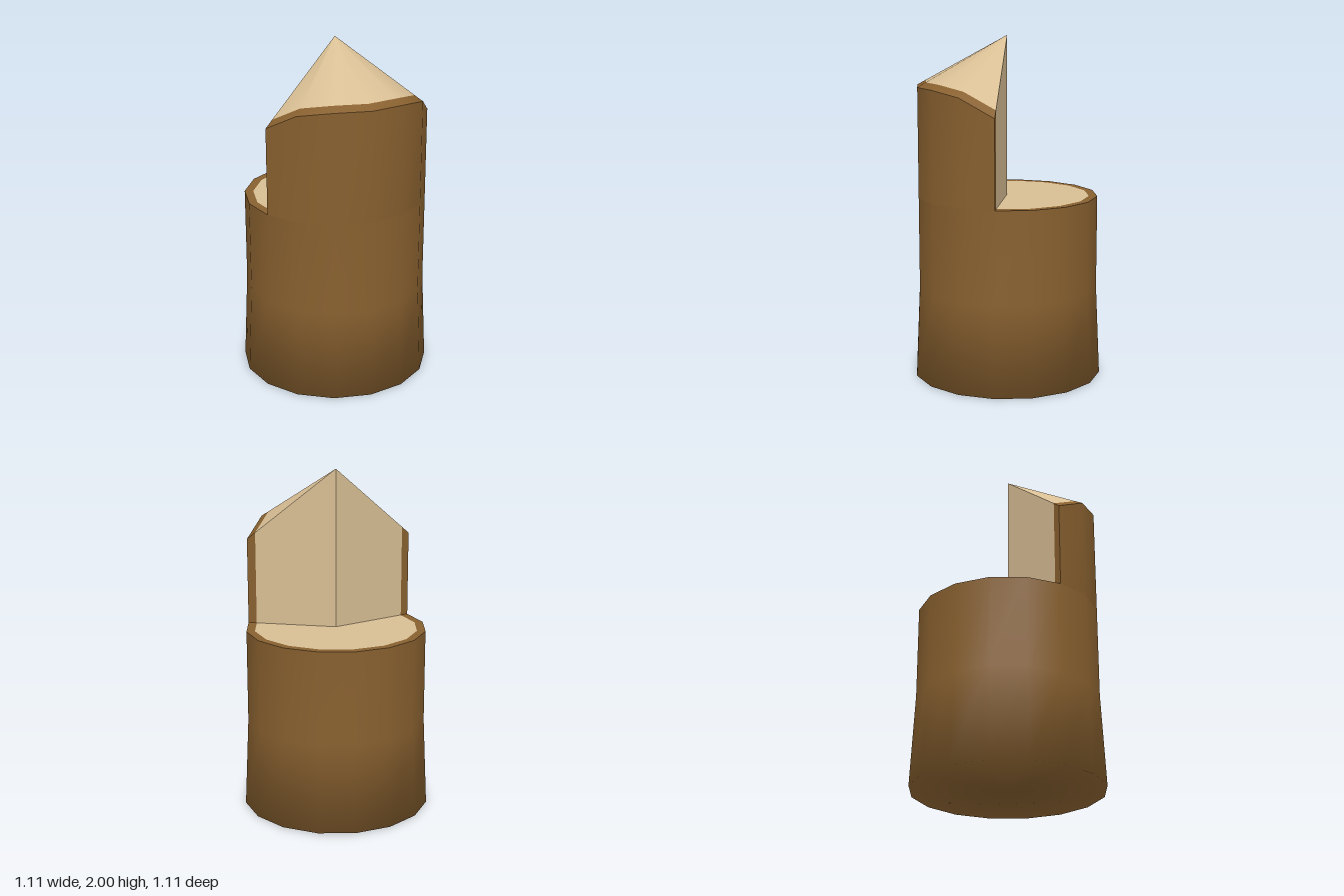
import * as THREE from 'three';

const SIDES = 16;
const R = 0.53, R_IN = 0.48, R_FOOT = 0.555; // bark, heartwood and flared foot radii
const CUT = 1.07, TIP = 2;                   // height of the sawn face and of the peak
const WEDGE = 6;                             // segments left standing (135 degrees)
const EDGE = [1.575, 1.68, 1.71, 1.71, 1.71, 1.68, 1.575]; // top edge of the standing wedge

// point on the trunk at column j
const at = (j, r, y) => {
  const a = (j / SIDES) * Math.PI * 2;
  return [Math.cos(a) * r, y, Math.sin(a) * r];
};

// consecutive columns from j0 to j1, each made by f
const row = (j0, j1, f) => Array.from({ length: j1 - j0 + 1 }, (_, i) => f(j0 + i));

// smooth skin through rows of points, optionally closed around the trunk
function skin(name, rows, material, closed = false) {
  const n = rows[0].length, index = [];
  for (let r = 0; r < rows.length - 1; r++) {
    for (let j = 0; j < (closed ? n : n - 1); j++) {
      const k = (j + 1) % n;
      const a = r * n + j, b = r * n + k, c = a + n, d = b + n;
      index.push(b, a, c, b, c, d);
    }
  }
  const g = new THREE.BufferGeometry();
  g.setAttribute('position', new THREE.Float32BufferAttribute(rows.flat(2), 3));
  g.setIndex(index);
  g.computeVertexNormals();
  const mesh = new THREE.Mesh(g, material);
  mesh.name = name;
  return mesh;
}

export function createModel() {
  const bark = new THREE.MeshStandardMaterial({ color: 0x88602f });
  bark.name = 'bark';
  const wood = new THREE.MeshStandardMaterial({ color: 0xd8be94 });
  wood.name = 'heartwood';

  const group = new THREE.Group();
  group.name = 'treeStump';

  // trunk with flared foot; the underside shares its smooth rim
  const ring = (r, y) => row(0, SIDES - 1, j => at(j, r, y));
  group.add(skin('trunk', [ring(0, 0), ring(R_FOOT, 0), ring(R, 0.53), ring(R, CUT)], bark, true));

  // sawn flat face on the open part
  const flat = r => row(WEDGE, SIDES, j => at(j, r, CUT));
  group.add(skin('sawnRim', [flat(R), flat(R_IN)], bark));
  group.add(skin('sawnFace', [flat(R_IN), flat(0)], wood));

  // standing wedge: outer bark, sloped rim and pointed top
  const slope = (j, r) => at(j, r, EDGE[j] + (TIP - EDGE[j]) * (1 - r / R));
  const arc = r => row(0, WEDGE, j => slope(j, r));
  group.add(skin('wedgeBark', [row(0, WEDGE, j => at(j, R, CUT)), arc(R)], bark));
  group.add(skin('wedgeRim', [arc(R), arc(R_IN)], bark));
  group.add(skin('wedgeTop', [arc(R_IN), arc(0)], wood));

  // two upright split faces, each with a strip of bark at its outer edge
  for (const j of [0, WEDGE]) {
    const split = (name, r0, r1, material) => {
      const radii = j === 0 ? [r1, r0] : [r0, r1];
      group.add(skin(name, [radii.map(r => at(j, r, CUT)), radii.map(r => slope(j, r))], material));
    };
    split('splitBark', R, R_IN, bark);
    split('splitFace', R_IN, 0, wood);
  }

  return group;
}
